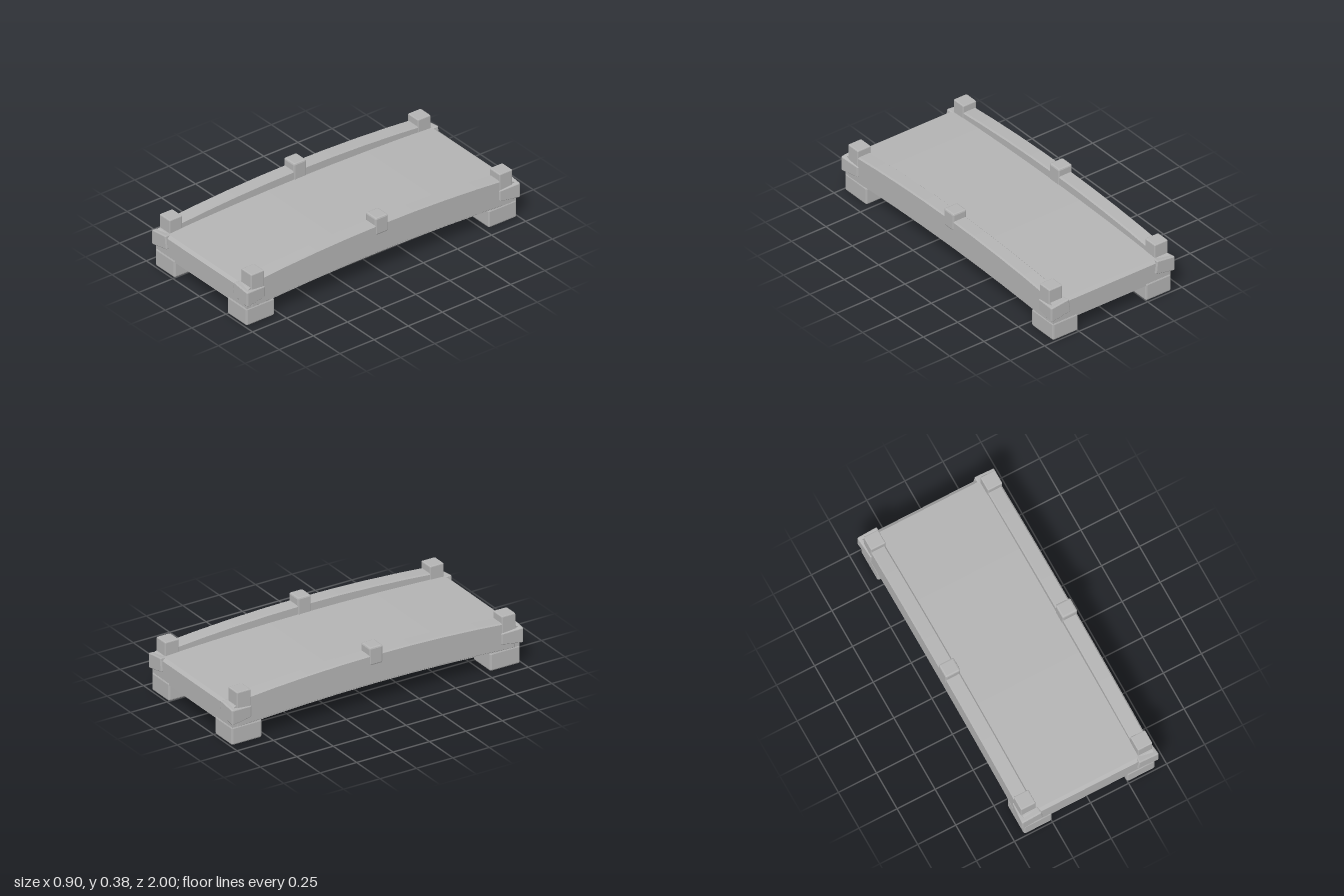
import * as THREE from 'three';
import { RoundedBoxGeometry } from 'three/addons/geometries/RoundedBoxGeometry.js';

const stone = new THREE.MeshStandardMaterial({ color: 0xb4b4b4 });
stone.name = 'grey stone';

// Heights of the arched surfaces along z
const underside = z => 0.138 - 0.036 * z * z;
const deckTop = z => 0.27 - 0.026 * z * z;
const railTop = z => 0.327 - 0.05 * z * z;

// Side profile between two arches, extruded across x with chamfered edges
function archedSlab(top, bottom, halfLength, width, endDrop, bevel) {
  const n = 8;
  const inner = halfLength - 0.02;
  const shape = new THREE.Shape();
  shape.moveTo(-halfLength, bottom(halfLength));
  for (let i = 0; i <= n; i++) {
    const z = halfLength * (i / n * 2 - 1);
    shape.lineTo(z, bottom(z));
  }
  shape.lineTo(halfLength, top(halfLength) - endDrop);
  for (let i = n; i >= 0; i--) {
    const z = inner * (i / n * 2 - 1);
    shape.lineTo(z, top(z));
  }
  shape.lineTo(-halfLength, top(halfLength) - endDrop);
  const geo = new THREE.ExtrudeGeometry(shape, {
    depth: width - 2 * bevel, bevelEnabled: bevel > 0, bevelSegments: 1,
    bevelSize: bevel, bevelThickness: bevel, bevelOffset: -bevel
  });
  geo.translate(0, 0, bevel - width / 2);
  geo.rotateY(Math.PI / 2);
  return geo;
}

// Box with one flat chamfer on each edge
function chamferBox(w, h, d, r = 0.01) {
  const geo = new RoundedBoxGeometry(w, h, d, 1, r);
  geo.computeVertexNormals();
  return geo;
}

// Corner stone flaring out towards the end of the bridge, for side sx and end sz
function flaredBlock(sx, sz) {
  const geo = new RoundedBoxGeometry(1, 1, 1, 1, 0.06);
  const p = geo.attributes.position;
  const mix = THREE.MathUtils.lerp;
  for (let i = 0; i < p.count; i++) {
    const u = p.getX(i) * sx + 0.5;
    const v = p.getY(i) + 0.5;
    const w = p.getZ(i) * sz + 0.5;
    const x = mix(mix(0.335, 0.437, u), mix(mix(0.308, 0.32, v), 0.45, u), w);
    const low = mix(mix(0.17, 0.155, u), mix(0.165, 0.138, u), w);
    const high = mix(mix(0.24, 0.225, u), mix(0.252, 0.236, u), w);
    p.setXYZ(i, sx * x, mix(low, high, v), sz * mix(0.858, 1, w));
  }
  geo.computeVertexNormals();
  return geo;
}

export function createModel() {
  const bridge = new THREE.Group();
  bridge.name = 'bridge';
  const add = (name, geo, x = 0, y = 0, z = 0) => {
    const mesh = new THREE.Mesh(geo, stone);
    mesh.name = name;
    mesh.position.set(x, y, z);
    bridge.add(mesh);
  };

  // Walkway
  add('deck', archedSlab(deckTop, underside, 0.985, 0.854, 0.015, 0));

  for (const sx of [1, -1]) {
    const side = sx > 0 ? 'left' : 'right';
    // Kerb wall along each side, with a post at the crown
    add(side + 'Rail', archedSlab(railTop, underside, 0.955, 0.092, 0.004, 0.008), sx * 0.384);
    add(side + 'MiddlePost', chamferBox(0.098, 0.115, 0.092), sx * 0.384, 0.3175, 0);

    for (const sz of [1, -1]) {
      const corner = (sz > 0 ? 'front' : 'back') + (sx > 0 ? 'Left' : 'Right');
      add(corner + 'Foot', chamferBox(0.183, 0.116, 0.205), sx * 0.3385, 0.058, sz * 0.8865);
      add(corner + 'Post', chamferBox(0.096, 0.12, 0.094, 0.006), sx * 0.384, 0.274, sz * 0.909);
      add(corner + 'Block', flaredBlock(sx, sz));
    }
  }
  return bridge;
}
